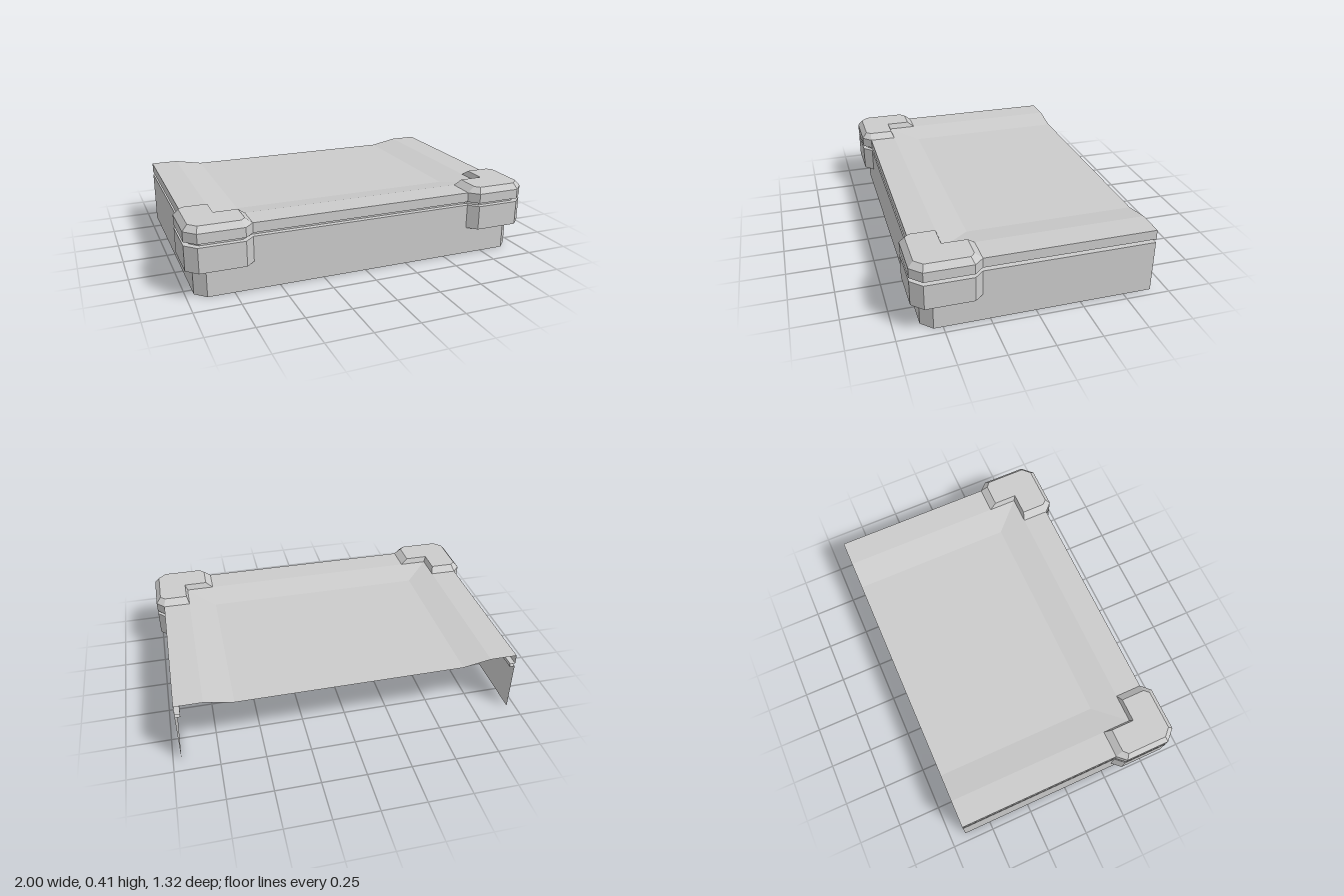
import * as THREE from 'three';

const material = new THREE.MeshStandardMaterial({ color: 0xcccccc, flatShading: true, side: THREE.DoubleSide });

// A ring is a list of [x, z] points at height y.
const ring = (y, pts) => pts.map(([x, z]) => [x, y, z]);

// Joins each ring to the next with quads; paths run counter-clockwise seen from above.
function loft(name, rings, closed = false) {
  const v = [];
  for (let r = 0; r + 1 < rings.length; r++) {
    const lo = rings[r], hi = rings[r + 1], n = lo.length;
    for (let i = 0; i < (closed ? n : n - 1); i++) {
      const j = (i + 1) % n;
      v.push(...lo[i], ...lo[j], ...hi[j], ...lo[i], ...hi[j], ...hi[i]);
    }
  }
  const g = new THREE.BufferGeometry();
  g.setAttribute('position', new THREE.Float32BufferAttribute(v, 3));
  g.computeVertexNormals();
  const m = new THREE.Mesh(g, material);
  m.name = name;
  return m;
}

const LEDGE = 0.16, RIM = 0.375, FLOOR = 0.345, TOP = 0.407, BACK = -0.66;
const W = 0.955, F = 0.61; // half width and front of the body

// L-shaped corner guard: wall with a groove, bevelled cap, underside ledge
function cornerGuard(name) {
  const outer = [[0.64, F], [0.69, 0.66], [0.94, 0.66], [1, 0.6], [1, 0.34], [W, 0.29]];
  const groove = [[0.64, 0.58], [0.70, 0.63], [0.925, 0.63], [0.97, 0.585], [0.97, 0.35], [0.925, 0.29]];
  const ledge = [[0.64, F], [0.69, F], [0.895, F], [W, 0.55], [W, 0.34], [W, 0.29]];
  const base = [...outer, [0.8, 0.29], [0.8, 0.455], [0.64, 0.455]];
  const cap = [[0.68, 0.605], [0.705, 0.632], [0.93, 0.632], [0.972, 0.59], [0.972, 0.355], [0.945, 0.33],
    [0.813, 0.33], [0.813, 0.467], [0.68, 0.467]];
  const g = new THREE.Group();
  g.name = name;
  g.add(loft('guardWall', [ring(LEDGE, ledge), ring(LEDGE, outer), ring(0.30, outer), ring(0.30, groove),
    ring(0.32, groove), ring(0.32, outer), ring(RIM, outer)]));
  g.add(loft('guardBevel', [ring(RIM, base), ring(TOP, cap)], true));
  const shape = new THREE.Shape(cap.map(([x, z]) => new THREE.Vector2(x, -z)));
  const top = new THREE.Mesh(new THREE.ShapeGeometry(shape).rotateX(-Math.PI / 2), material);
  top.position.y = TOP;
  top.name = 'guardCap';
  g.add(top);
  return g;
}

export function createModel() {
  const model = new THREE.Group();
  model.name = 'caseLid';

  // Lower skirt with chamfered front corners, open at the back and below
  const skirt = [[-W, BACK], [-W, 0.55], [-0.895, F], [0.895, F], [W, 0.55], [W, BACK]];
  model.add(loft('skirt', [ring(0, skirt), ring(LEDGE, skirt)]));

  // Grooved walls between the corner guards: [inset, height]
  const profile = [[0, LEDGE], [0, 0.30], [0.03, 0.30], [0.03, 0.32], [0, 0.32], [0, RIM]];
  const wall = (name, path) => model.add(loft(name, profile.map(([d, y]) => ring(y, path(d)))));
  wall('frontWall', d => [[-0.64, F - d], [0.64, F - d]]);
  wall('leftWall', d => [[W - d, 0.29], [W - d, BACK]]);
  wall('rightWall', d => [[d - W, BACK], [d - W, 0.29]]);

  // Top: flat rim, slope and slightly sunken floor
  const flat = (name, a, b, y = RIM) => model.add(loft(name, [ring(y, a), ring(y, b)]));
  flat('frontRim', [[-0.64, F], [0.64, F]], [[-0.64, 0.455], [0.64, 0.455]]);
  flat('leftRim', [[W, 0.29], [W, BACK]], [[0.8, 0.29], [0.8, BACK]]);
  flat('rightRim', [[-W, BACK], [-W, 0.29]], [[-0.8, BACK], [-0.8, 0.29]]);
  const u = (x, z) => [[-x, BACK], [-x, z], [x, z], [x, BACK]];
  model.add(loft('topSlope', [ring(RIM, u(0.8, 0.455)), ring(FLOOR, u(0.64, 0.29))]));
  flat('topFloor', [[-0.64, 0.29], [0.64, 0.29]], [[-0.64, BACK], [0.64, BACK]], FLOOR);

  // Corner guards, mirrored
  const right = cornerGuard('rightCornerGuard');
  right.scale.x = -1;
  model.add(cornerGuard('leftCornerGuard'), right);
  return model;
}
